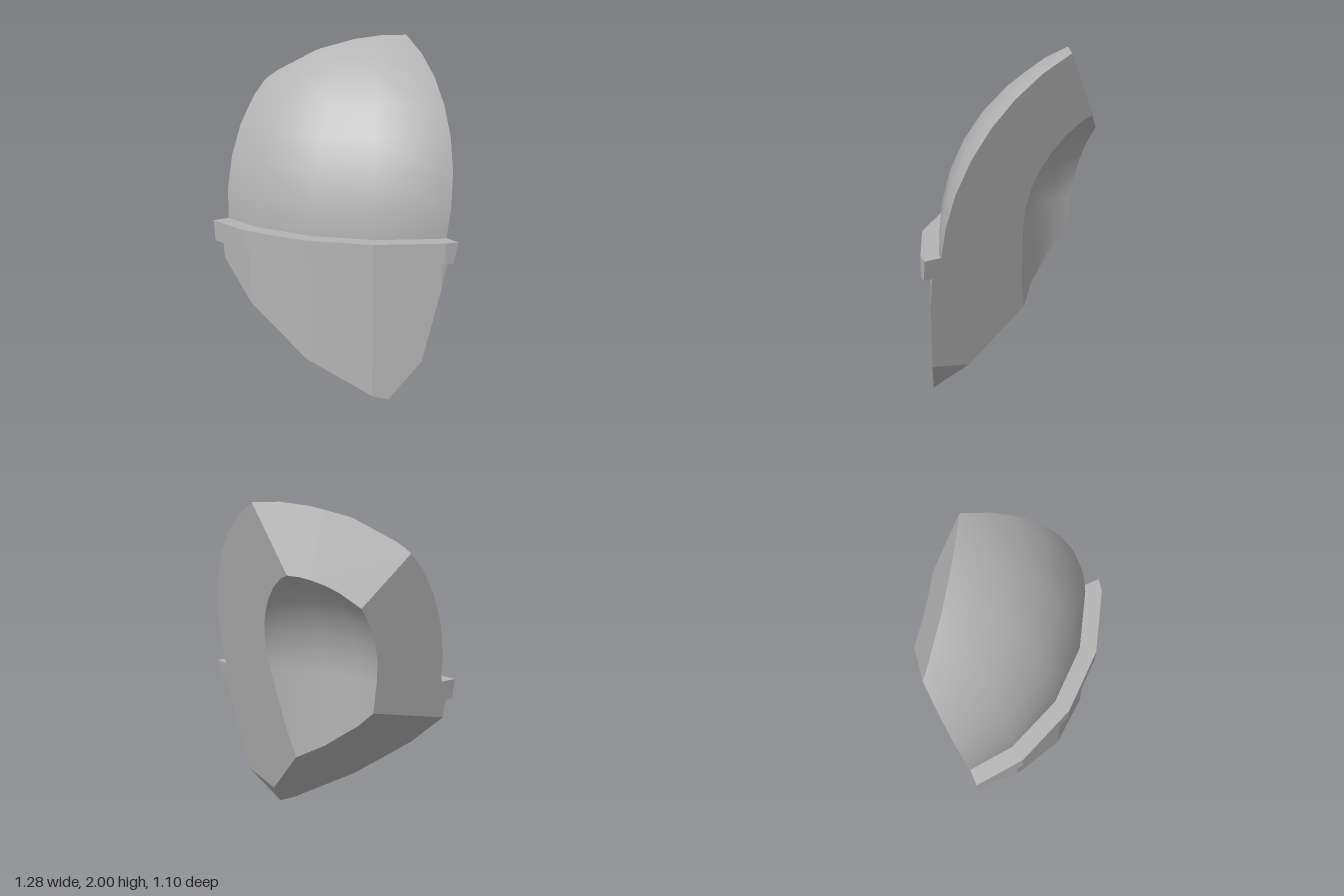
import * as THREE from 'three';

const SIDES = 20;
const AXIS = new THREE.Vector3(0.535, 0, -0.73); // vertical axis of the whole dome
const OUTER_R = 1.18, OUTER_Y = 0.92, INNER_R = 0.712, INNER_Y = 1.01;

const V = (x, y, z) => new THREE.Vector3(x, y, z);
const cut = (normal, point) =>
  new THREE.Plane().setFromNormalAndCoplanarPoint(V(...normal).normalize(), V(...point));

// Break planes, normals pointing out of the fragment
const cuts = {
  rightBreak: cut([0.5514, -0.1248, -0.2189], [0.535, 2, -0.265]),
  topBreak: cut([0.0378, 0.0978, -0.2542], [0.535, 2, -0.265]),
  backBreak: cut([-0.1162, -0.0498, -0.338], [-0.28, 1.73, -0.49]),
  bottomBreak: cut([-0.095, -1, -0.9], [0.155, 0.03, 0.44]),
  tipBreak: cut([0.0468, -0.0371, -0.0124], [0.43, 0.23, 0.48]),
};
const planes = Object.values(cuts);

// Point shared by three planes
function meet(a, b, c) {
  const bc = b.normal.clone().cross(c.normal);
  const det = a.normal.dot(bc);
  return bc.multiplyScalar(-a.constant)
    .addScaledVector(c.normal.clone().cross(a.normal), -b.constant)
    .addScaledVector(a.normal.clone().cross(b.normal), -c.constant)
    .divideScalar(det);
}

// Keep the part of a polygon behind a plane
function clip(poly, plane) {
  const out = [];
  poly.forEach((a, i) => {
    const b = poly[(i + 1) % poly.length];
    const da = plane.distanceToPoint(a), db = plane.distanceToPoint(b);
    if (da <= 0) out.push(a);
    if ((da < 0 && db > 0) || (da > 0 && db < 0)) out.push(a.clone().lerp(b, da / (da - db)));
  });
  return out;
}

// Revolve a profile and trim it with all break planes
function revolveAndBreak(profile) {
  const lathe = new THREE.LatheGeometry(profile.map(([r, y]) => new THREE.Vector2(r, y)), SIDES)
    .toNonIndexed();
  const p = lathe.attributes.position;
  const polys = [];
  for (let i = 0; i < p.count; i += 3) {
    let poly = [0, 1, 2].map((k) => new THREE.Vector3().fromBufferAttribute(p, i + k).add(AXIS));
    for (const plane of planes) if (poly.length) poly = clip(poly, plane);
    if (poly.length > 2) polys.push(poly);
  }
  return polys;
}

// Directed chain of the polygon edges lying on a plane
function edgeChain(polys, plane) {
  const on = (v) => Math.abs(plane.distanceToPoint(v)) < 1e-6;
  const same = (a, b) => a.distanceTo(b) < 1e-5;
  const edges = [];
  for (const poly of polys) poly.forEach((a, i) => {
    const b = poly[(i + 1) % poly.length];
    if (on(a) && on(b) && !same(a, b)) edges.push([a, b]);
  });
  if (!edges.length) return [];
  const first = edges.find((e) => !edges.some((f) => same(f[1], e[0]))) || edges[0];
  const chain = [first[0]];
  for (let e = first, n = 0; e && n < edges.length; n++) {
    chain.push(e[1]);
    const end = e[1];
    e = edges.find((f) => same(f[0], end));
  }
  return chain;
}

// Fan the polygons; normalAt gives smooth normals, otherwise faces are flat
function toGeometry(polys, normalAt) {
  const pos = [], nor = [];
  for (const poly of polys) for (let i = 1; i < poly.length - 1; i++) {
    for (const v of [poly[0], poly[i], poly[i + 1]]) {
      pos.push(v.x, v.y, v.z);
      if (normalAt) nor.push(...normalAt(v).toArray());
    }
  }
  const g = new THREE.BufferGeometry();
  g.setAttribute('position', new THREE.Float32BufferAttribute(pos, 3));
  if (normalAt) g.setAttribute('normal', new THREE.Float32BufferAttribute(nor, 3));
  else g.computeVertexNormals();
  return g;
}

// Flat face filling a closed loop on a plane
function capPolys(loop, normal) {
  const u = V(0, 1, 0).cross(normal).normalize();
  const w = normal.clone().cross(u);
  const flat = loop.map((v) => new THREE.Vector2(v.dot(u), v.dot(w)));
  return THREE.ShapeUtils.triangulateShape(flat, []).map((t) => {
    const [a, b, c] = t.map((i) => loop[i]);
    const facing = b.clone().sub(a).cross(c.clone().sub(a)).dot(normal);
    return facing > 0 ? [a, b, c] : [a, c, b];
  });
}

export function createModel() {
  const group = new THREE.Group();
  const stone = new THREE.MeshStandardMaterial({ color: 0xb4b4b4 });
  stone.name = 'stone grey';
  const add = (name, geometry) => {
    const mesh = new THREE.Mesh(geometry, stone);
    mesh.name = name;
    group.add(mesh);
  };

  // Profiles as [radius, height]
  const domeProfile = [[OUTER_R, 0.94]];
  const innerProfile = [];
  for (let k = 1; k <= 9; k++) {
    const a = THREE.MathUtils.degToRad(9.53 * k);
    domeProfile.push([OUTER_R * Math.cos(a), OUTER_Y + OUTER_R * Math.sin(a)]);
  }
  for (let k = 9; k >= 0; k--) {
    const a = THREE.MathUtils.degToRad(9.53 * k);
    innerProfile.push([INNER_R * Math.cos(a), INNER_Y + INNER_R * Math.sin(a)]);
  }
  innerProfile.push([INNER_R, -0.5]);
  const wallProfile = [[1.23, -0.5], [1.23, 0.82]];
  const bandProfile = [[1.23, 0.82], [1.28, 0.82], [1.28, 0.94], [OUTER_R, 0.94]];

  const dome = revolveAndBreak(domeProfile);
  const wall = revolveAndBreak(wallProfile);
  const band = revolveAndBreak(bandProfile);
  const inner = revolveAndBreak(innerProfile);

  // Curved skins
  add('outerDome', toGeometry(dome, (v) => v.clone().sub(AXIS).setY(v.y - OUTER_Y).normalize()));
  add('lowerWall', toGeometry(wall));
  add('rimBand', toGeometry(band));
  add('innerHollow', toGeometry(inner, (v) =>
    v.clone().sub(AXIS).setY(Math.max(0, v.y - INNER_Y)).normalize().negate()));

  // Broken faces between the outer and inner skins
  const corner = meet(cuts.rightBreak, cuts.bottomBreak, cuts.tipBreak);
  const outer = [...wall, ...band, ...dome];
  for (const [name, plane] of Object.entries(cuts)) {
    const outside = edgeChain(outer, plane).reverse();
    const inside = edgeChain(inner, plane).reverse();
    if (outside.length < 2) continue;
    let loop = [...outside, ...inside];
    if (Math.abs(plane.distanceToPoint(corner)) < 1e-6) {
      const nearEnd = corner.distanceTo(outside[outside.length - 1]) < corner.distanceTo(outside[0]);
      loop = nearEnd ? [...outside, corner, ...inside] : [...outside, ...inside, corner];
    }
    add(name, toGeometry(capPolys(loop, plane.normal)));
  }
  return group;
}
